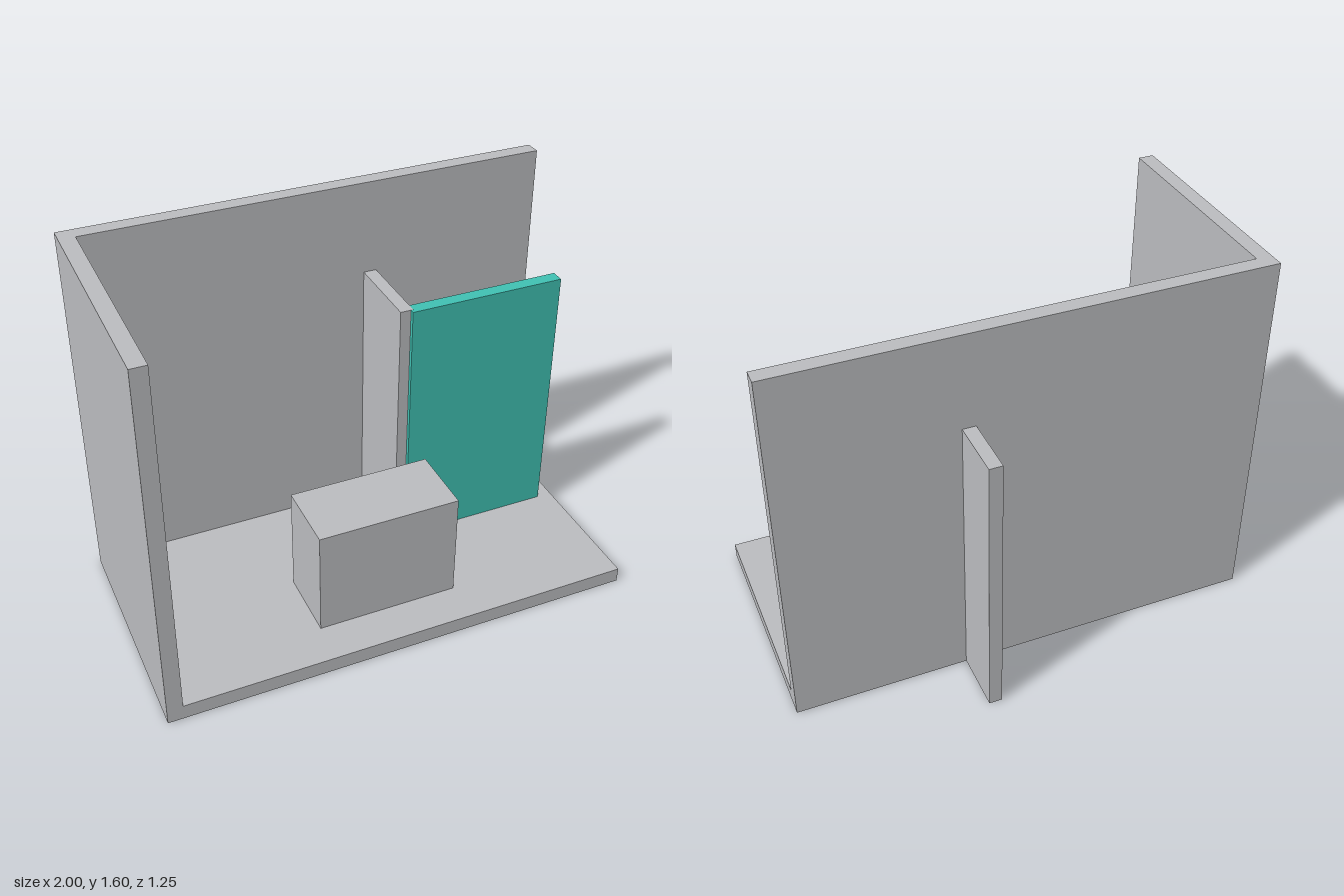
import * as THREE from 'three';

export function createModel() {
  const model = new THREE.Group();
  const grey = new THREE.MeshStandardMaterial({ color: 0xbcbdc0 });
  grey.name = 'light grey';
  const teal = new THREE.MeshStandardMaterial({ color: 0x40c1b3 });
  teal.name = 'teal';

  // Box given by its minimum and maximum corners
  function addBox(name, material, [x0, y0, z0], [x1, y1, z1]) {
    const mesh = new THREE.Mesh(new THREE.BoxGeometry(x1 - x0, y1 - y0, z1 - z0), material);
    mesh.position.set((x0 + x1) / 2, (y0 + y1) / 2, (z0 + z1) / 2);
    mesh.name = name;
    model.add(mesh);
  }

  // Room shell: floor and two walls meeting at a corner
  const t = 0.065;
  addBox('floor', grey, [-1, 0, -0.375], [1, t, 0.625]);
  addBox('backWall', grey, [-1, t, -0.375], [1, 1.6, -0.375 + t]);
  addBox('sideWall', grey, [-1, t, -0.375 + t], [-1 + t, 1.6, 0.625]);

  // Partition running through the back wall, with the coloured panel at its front edge
  addBox('partition', grey, [0.22, 0, -0.625], [0.275, 1.2, 0.043]);
  addBox('panel', teal, [0.265, 0.002, 0.005], [0.935, 1.199, 0.061]);

  // Counter block standing on the floor
  addBox('counter', grey, [-0.3, t, 0.15], [0.3, 0.533, 0.45]);

  return model;
}
